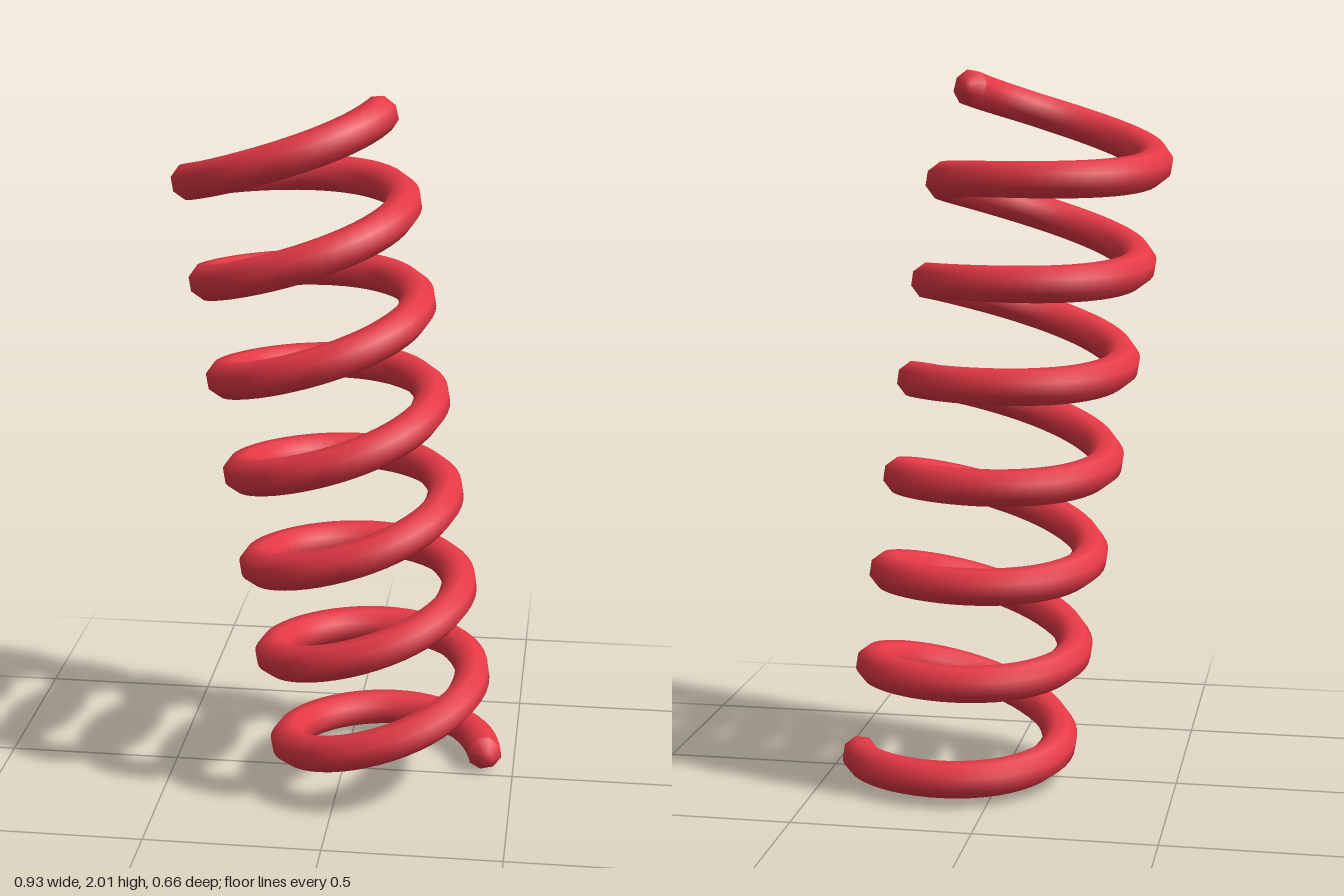
import * as THREE from 'three';
import { mergeVertices } from 'three/addons/utils/BufferGeometryUtils.js';

const COIL_RADIUS = 0.2825;
const PITCH = 0.279;           // rise per turn along the coil's axis
const WIRE = 0.0475;           // half width across the flats of the wire
const SIDES = 8;
const STEPS = 340;
const START = THREE.MathUtils.degToRad(11);
const END = THREE.MathUtils.degToRad(7 * 360 - 21);

// Position and frame of the wire at a given angle round the coil
function frameAt(angle) {
  const c = Math.cos(angle), s = Math.sin(angle);
  const centre = new THREE.Vector3(COIL_RADIUS * c, PITCH * angle / (2 * Math.PI), -COIL_RADIUS * s);
  const tangent = new THREE.Vector3(-COIL_RADIUS * s, PITCH / (2 * Math.PI), -COIL_RADIUS * c).normalize();
  const outward = new THREE.Vector3(c, 0, -s);
  const side = new THREE.Vector3().crossVectors(tangent, outward);
  return { centre, tangent, outward, side };
}

function coilGeometry() {
  const positions = [], index = [];
  const circumradius = WIRE / Math.cos(Math.PI / SIDES);

  // One octagonal ring, moved along the wire and scaled
  const addRing = (angle, shift = 0, scale = 1) => {
    const { centre, tangent, outward, side } = frameAt(angle);
    centre.addScaledVector(tangent, shift);
    for (let j = 0; j < SIDES; j++) {
      const a = (j + 0.5) / SIDES * Math.PI * 2;
      const p = centre.clone()
        .addScaledVector(outward, circumradius * scale * Math.cos(a))
        .addScaledVector(side, circumradius * scale * Math.sin(a));
      positions.push(p.x, p.y, p.z);
    }
  };

  // Blunt rounded tip, wire, blunt rounded tip
  const cap = [[0.4, 1], [1, 0.45], [1.02, 0]];
  for (const [d, s] of [...cap].reverse()) addRing(START, -d * WIRE, s);
  for (let i = 0; i <= STEPS; i++) addRing(START + (END - START) * i / STEPS);
  for (const [d, s] of cap) addRing(END, d * WIRE, s);

  const rings = positions.length / 3 / SIDES;
  for (let i = 0; i < rings - 1; i++) {
    for (let j = 0; j < SIDES; j++) {
      const k = (j + 1) % SIDES;
      const a = i * SIDES + j, b = i * SIDES + k;
      const c = a + SIDES, d = b + SIDES;
      if (i > 0) index.push(a, b, c);
      if (i < rings - 2) index.push(b, d, c);
      else index.push();
    }
  }

  let geometry = new THREE.BufferGeometry();
  geometry.setAttribute('position', new THREE.Float32BufferAttribute(positions, 3));
  geometry.setIndex(index);
  geometry = mergeVertices(geometry, 1e-5);
  geometry.computeVertexNormals();
  return geometry;
}

export function createModel() {
  const group = new THREE.Group();
  group.name = 'spring';
  const coil = new THREE.Mesh(coilGeometry(), new THREE.MeshStandardMaterial({ color: 0xe63946 }));
  coil.name = 'coil';
  // The whole coil leans to the right
  coil.rotation.z = 0.153;
  coil.position.set(0.14, 0.003, 0);
  group.add(coil);
  return group;
}
